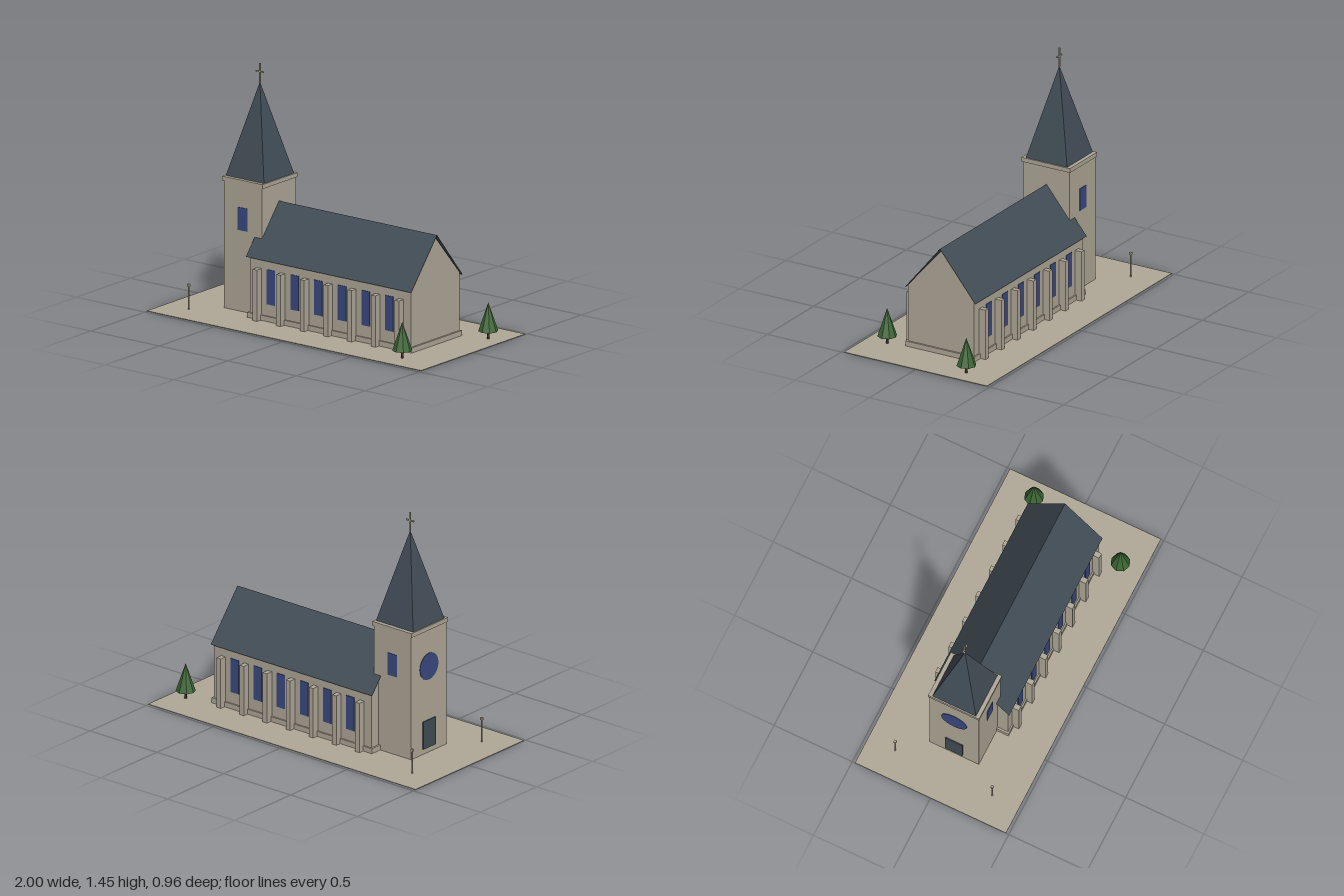
import * as THREE from 'three';

const material = (name, color, extra = {}) => {
  const m = new THREE.MeshStandardMaterial({ color, ...extra });
  m.name = name;
  return m;
};

export function createModel() {
  const group = new THREE.Group();
  const stone = material('stone', 0xb0a898);
  const slate = material('slate', 0x424d56, { side: THREE.DoubleSide, flatShading: true });
  const glass = material('window glass', 0x3a4a80);
  const green = material('foliage', 0x3c6634, { flatShading: true });
  const bark = material('bark', 0x33291f);

  const add = (name, geometry, mat, x = 0, y = 0, z = 0) => {
    const mesh = new THREE.Mesh(geometry, mat);
    mesh.name = name;
    mesh.position.set(x, y, z);
    group.add(mesh);
    return mesh;
  };
  // box standing on height y
  const box = (name, mat, w, h, d, x, y, z) =>
    add(name, new THREE.BoxGeometry(w, h, d), mat, x, y + h / 2, z);

  box('ground', stone, 2, 0.004, 0.965, 0, 0, 0);

  // Nave: gabled body on a plinth
  const gable = new THREE.Shape([
    new THREE.Vector2(-0.224, 0), new THREE.Vector2(0.224, 0),
    new THREE.Vector2(0.224, 0.38), new THREE.Vector2(0, 0.638), new THREE.Vector2(-0.224, 0.38),
  ]);
  const body = new THREE.ExtrudeGeometry(gable, { depth: 1.177, bevelEnabled: false });
  body.rotateY(Math.PI / 2);
  add('naveWalls', body, stone, -0.452);
  box('plinth', stone, 1.2, 0.035, 0.466, 0.136, 0, 0);

  // Thin roof slopes overhanging the walls
  const run = 0.239, rise = 0.29;
  for (const turn of [0, Math.PI]) {
    const slope = new THREE.PlaneGeometry(1.206, Math.hypot(run, rise));
    slope.rotateX(-Math.atan2(run, rise));
    slope.translate(0, 0.365 + rise / 2, run / 2);
    slope.rotateY(turn);
    add('naveRoof', slope, slate, 0.134);
  }

  // Buttresses with windows between them, both long sides
  for (const side of [1, -1]) {
    for (let i = 0; i < 7; i++) {
      const x = -0.383 + i * 0.1728;
      box('buttress', stone, 0.032, 0.31, 0.05, x, 0, side * 0.242);
      if (i < 6) box('naveWindow', glass, 0.06, 0.208, 0.008, x + 0.0864, 0.105, side * 0.224);
    }
    box('towerWindow', glass, 0.07, 0.136, 0.008, -0.555, 0.487, side * 0.157);
  }

  // Tower, cornice and spire
  const tx = -0.555;
  box('tower', stone, 0.279, 0.77, 0.315, tx, 0, 0);
  box('cornice', stone, 0.294, 0.026, 0.326, tx, 0.762, 0);
  const spire = new THREE.ConeGeometry(0.139 * Math.SQRT2, 0.552, 4);
  spire.rotateY(Math.PI / 4);
  add('spire', spire, slate, tx, 0.788 + 0.276, 0);
  box('crossPost', stone, 0.008, 0.12, 0.008, tx, 1.33, 0);
  box('crossBar', stone, 0.056, 0.008, 0.008, tx, 1.396, 0);

  // Entrance door and round window on the tower's outer face
  box('door', slate, 0.009, 0.17, 0.11, -0.6965, 0.036, 0);
  const rose = new THREE.CylinderGeometry(0.082, 0.082, 0.006, 24);
  rose.rotateZ(Math.PI / 2);
  add('roundWindow', rose, glass, -0.6945, 0.535, 0);

  // Lamps
  for (const side of [1, -1]) {
    box('lampPost', stone, 0.007, 0.14, 0.007, -0.83, 0, side * 0.31);
    box('lampHead', stone, 0.015, 0.015, 0.015, -0.83, 0.14, side * 0.31);
  }

  // Trees
  for (const [x, z] of [[0.755, 0.345], [0.893, -0.276]]) {
    add('treeTrunk', new THREE.CylinderGeometry(0.007, 0.008, 0.055, 8), bark, x, 0.0275, z);
    add('treeFoliage', new THREE.ConeGeometry(0.058, 0.17, 8), green, x, 0.135, z);
  }

  return group;
}
